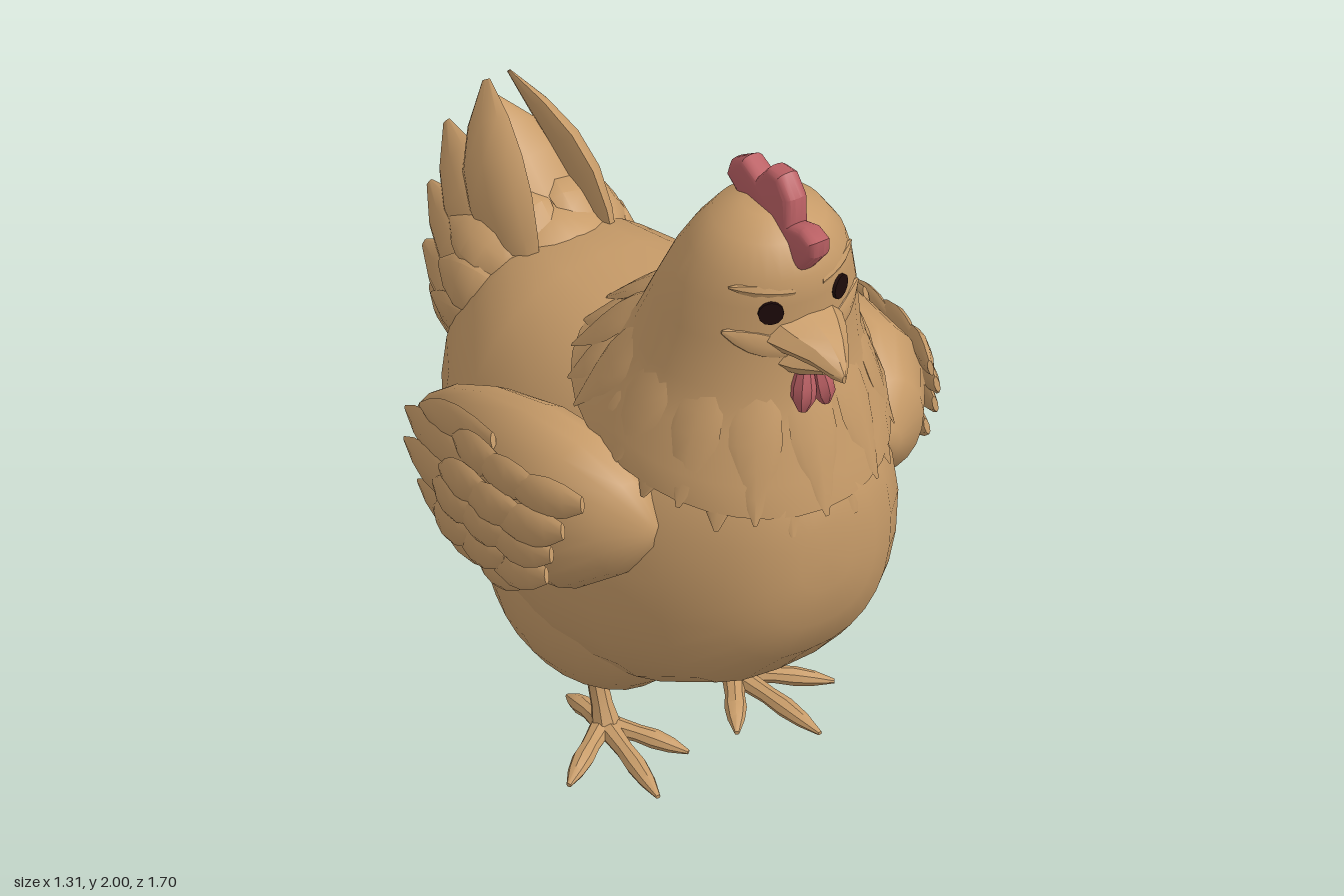
import * as THREE from 'three';
import { toCreasedNormals } from 'three/addons/utils/BufferGeometryUtils.js';

const V = (x, y, z) => new THREE.Vector3(x, y, z);
const material = (name, color, side = THREE.FrontSide) => {
  const m = new THREE.MeshStandardMaterial({ color, side });
  m.name = name;
  return m;
};

// Skin a list of equal-length rings, cap the ends and turn all faces outward.
function loft(rings, { capStart = true, crease = 0.65 } = {}) {
  const n = rings[0].length, pts = rings.flat(), tris = [];
  for (let r = 0; r < rings.length - 1; r++) {
    for (let i = 0; i < n; i++) {
      const a = r * n + i, b = r * n + (i + 1) % n;
      tris.push([a, b, a + n], [b, b + n, a + n]);
    }
  }
  const cap = (r, flip) => {
    const c = rings[r].reduce((s, p) => s.add(p), V(0, 0, 0)).divideScalar(n);
    const k = pts.push(c) - 1;
    for (let i = 0; i < n; i++) {
      const a = r * n + i, b = r * n + (i + 1) % n;
      tris.push(flip ? [k, b, a] : [k, a, b]);
    }
  };
  if (capStart) cap(0, true);
  cap(rings.length - 1, false);
  const mid = pts.reduce((s, p) => s.add(p), V(0, 0, 0)).divideScalar(pts.length);
  let volume = 0;
  for (const [a, b, c] of tris) {
    const [p, q, s] = [a, b, c].map(i => pts[i].clone().sub(mid));
    volume += p.dot(q.cross(s));
  }
  if (volume < 0) tris.forEach(t => t.reverse());
  const g = new THREE.BufferGeometry().setFromPoints(pts);
  g.setIndex(tris.flat());
  return toCreasedNormals(g, crease);
}

// Rounded cross-section facing z; e below 1 is boxier, taper narrows the upper half.
function section(z, top, bottom, x0, x1, n = 28, e = 0.8, taper = 0) {
  const pw = v => Math.sign(v) * Math.abs(v) ** e;
  return Array.from({ length: n }, (_, i) => {
    const a = i / n * Math.PI * 2;
    return V((x0 + x1) / 2 + (x1 - x0) / 2 * pw(Math.cos(a)) * (1 - taper * Math.max(0, Math.sin(a))),
      (top + bottom) / 2 + (top - bottom) / 2 * pw(Math.sin(a)), z);
  });
}

const FEATHER = [0.4, 0.8, 1, 0.95, 0.65, 0.12];
const POINTED = [0.7, 0.95, 1, 0.8, 0.45, 0.08];
// Tapered blade from a to b, flat against the normal and bowed along it.
function blade(a, b, width, thick, normal, profile = FEATHER, bow = 0, n = 8) {
  const dir = b.clone().sub(a).normalize();
  const side = dir.clone().cross(normal).normalize();
  const up = side.clone().cross(dir);
  return loft(profile.map((k, r) => {
    const t = r / (profile.length - 1);
    const c = a.clone().lerp(b, t).addScaledVector(up, bow * Math.sin(Math.PI * t));
    return Array.from({ length: n }, (_, i) => {
      const q = i / n * Math.PI * 2;
      return c.clone().addScaledVector(side, Math.cos(q) * width * k)
        .addScaledVector(up, Math.sin(q) * thick * k);
    });
  }));
}

export function createModel() {
  const hen = new THREE.Group();
  hen.name = 'hen';
  const tan = material('tan plumage', 0xc89c69, THREE.DoubleSide);
  const red = material('comb red', 0xbb6064);
  const black = material('eye black', 0x1c0a0a);
  const add = (name, geo, mat = tan, parent = hen) => {
    const m = new THREE.Mesh(geo, mat);
    m.name = name;
    parent.add(m);
    return m;
  };
  const group = name => {
    const g = new THREE.Group();
    g.name = name;
    hen.add(g);
    return g;
  };

  // Body: z, top, bottom, half width
  add('body', loft([
    [0.77, 1.0, 0.8, 0.08], [0.745, 1.12, 0.68, 0.17], [0.68, 1.2, 0.555, 0.26],
    [0.55, 1.25, 0.42, 0.37], [0.35, 1.27, 0.315, 0.445], [0.15, 1.275, 0.265, 0.48],
    [-0.05, 1.27, 0.25, 0.48], [-0.25, 1.25, 0.285, 0.455], [-0.42, 1.23, 0.36, 0.38],
    [-0.55, 1.17, 0.47, 0.295], [-0.62, 1.08, 0.6, 0.21], [-0.65, 0.95, 0.75, 0.1],
  ].map(([z, t, b, w]) => section(z, t, b, -w, w, 28, 0.8, 0.14)), { crease: 1 }));

  // Neck and head: front z, front y, back z, back y, half width
  const neck = [
    [0.767, 1.05, -0.1, 1.25, 0.4], [0.75, 1.14, -0.03, 1.29, 0.385],
    [0.705, 1.28, 0.06, 1.36, 0.335], [0.685, 1.4, 0.13, 1.45, 0.298],
    [0.685, 1.55, 0.2, 1.58, 0.27], [0.692, 1.66, 0.25, 1.68, 0.24],
    [0.695, 1.74, 0.3, 1.76, 0.205], [0.65, 1.825, 0.36, 1.835, 0.15], [0.58, 1.87, 0.45, 1.87, 0.075],
  ];
  const neckPoint = ([zf, yf, zb, yb, w], a) => {
    const f = (Math.cos(a) + 1) / 2;
    return V(Math.sin(a) * w, yb + (yf - yb) * f, zb + (zf - zb) * f);
  };
  add('neckAndHead', loft(neck.map(ring => Array.from({ length: 32 }, (_, i) =>
    neckPoint(ring, i / 16 * Math.PI))), { capStart: false, crease: 0.9 }));

  // Long pointed collar feathers, lying close to the neck
  const collar = group('collar');
  for (let i = 0; i < 26; i++) {
    const a = i / 13 * Math.PI, out = V(Math.sin(a), 0.25, Math.cos(a));
    const tip = neckPoint(neck[0], a).addScaledVector(out, 0.006);
    tip.y -= (i % 2 ? 0.06 : 0.02) * (1 + Math.cos(a)) / 2;
    add('collarFeather', blade(neckPoint(neck[i % 2 ? 2 : 3], a).addScaledVector(out, -0.015), tip,
      0.07, 0.016, out, POINTED), tan, collar);
  }

  // Beak
  add('upperBeak', loft([[0.66, 1.625, 1.5, 0.12], [0.72, 1.605, 1.51, 0.095], [0.78, 1.585, 1.505, 0.06],
    [0.825, 1.55, 1.49, 0.03], [0.85, 1.515, 1.49, 0.006]]
    .map(([z, t, b, w]) => section(z, t, b, -w, w, 8, 1)), { crease: 0.4 }));
  add('lowerBeak', loft([[0.64, 1.53, 1.43, 0.1], [0.71, 1.52, 1.445, 0.065], [0.775, 1.51, 1.475, 0.02]]
    .map(([z, t, b, w]) => section(z, t, b, -w, w, 8, 1)), { crease: 0.4 }));

  // Comb, rounded by its bevel
  const comb = new THREE.Shape([
    [0.68, 1.78], [0.725, 1.835], [0.725, 1.86], [0.69, 1.87], [0.625, 1.85], [0.62, 1.94], [0.585, 1.98],
    [0.545, 1.975], [0.495, 1.915], [0.43, 1.94], [0.385, 1.91], [0.375, 1.88], [0.44, 1.84],
    [0.55, 1.84], [0.62, 1.8]].map(([z, y]) => new THREE.Vector2(-z, y)));
  const combGeo = new THREE.ExtrudeGeometry(comb,
    { depth: 0.016, bevelThickness: 0.027, bevelSize: 0.02, bevelSegments: 3 });
  combGeo.translate(0, 0, -0.008).rotateY(Math.PI / 2);
  add('comb', toCreasedNormals(combGeo, 0.7), red);

  const wings = group('wings'), legs = group('legs'), tail = group('tail');
  for (const s of [1, -1]) {
    // Face details
    const eye = new THREE.CylinderGeometry(0.034, 0.034, 0.009, 12).rotateX(Math.PI / 2);
    const e = add('eye', eye, black);
    e.position.set(s * 0.107, 1.65, 0.673);
    e.rotation.y = s * 0.46;
    add('brow', blade(V(s * 0.04, 1.7, 0.685), V(s * 0.19, 1.72, 0.6), 0.025, 0.022, V(s * 0.4, 0, 1)));
    add('cheek', blade(V(s * 0.03, 1.51, 0.68), V(s * 0.21, 1.59, 0.6), 0.045, 0.03, V(s * 0.4, 0, 1)));
    add('wattle', blade(V(s * 0.015, 1.48, 0.695), V(s * 0.036, 1.34, 0.712), 0.032, 0.035, V(0, 0, 1),
      [0.5, 0.75, 1, 1, 0.4]), red);

    // Wing core: z, top, bottom, inner x, outer x
    add('wing', loft([
      [0.52, 1.0, 0.93, 0.34, 0.4], [0.46, 1.11, 0.83, 0.3, 0.51], [0.32, 1.18, 0.72, 0.26, 0.61],
      [0.12, 1.17, 0.67, 0.28, 0.63], [-0.1, 1.1, 0.67, 0.32, 0.59], [-0.28, 1.0, 0.7, 0.36, 0.53],
      [-0.4, 0.9, 0.75, 0.39, 0.47], [-0.45, 0.84, 0.79, 0.41, 0.44],
    ].map(([z, t, b, x0, x1]) => section(z, t, b, s * x0, s * x1, 18, 0.95, 0.12)), { crease: 0.9 }), tan, wings);
    const onWing = (z, y) => V(s * (0.37 + 0.262 * Math.sqrt(Math.max(0.04,
      1 - ((z - 0.15) / (z > 0.15 ? 0.46 : 0.66)) ** 2 - ((y - 0.88 - 0.17 * z) / 0.33) ** 2))), y, z);

    // Wing feathers: start z, y, end z, y, half width
    const feathers = [
      [0.05, 1.0, -0.46, 0.83, 0.065], [0.08, 0.92, -0.42, 0.77, 0.06], [0.12, 0.84, -0.34, 0.69, 0.055],
      [0.18, 0.79, -0.2, 0.65, 0.05], [0.28, 0.78, -0.02, 0.64, 0.05], [0.1, 1.1, -0.3, 0.96, 0.06],
    ];
    for (let row = 0; row < 3; row++) {
      for (let i = 0; i < 4; i++) {
        const z = 0.45 - row * 0.14 - i * 0.03, y = 1.09 - i * 0.085 - row * 0.01;
        feathers.push([z, y, z - 0.24, y - 0.05 - 0.02 * (i % 2), 0.058]);
      }
    }
    for (const [z0, y0, z1, y1, w] of feathers) {
      add('wingFeather', blade(onWing(z0, y0), onWing(z1, y1), w, 0.02, V(s, 0.1, 0), FEATHER, 0.012), tan, wings);
    }

    // Tail fan: tip x, y, z, base y, half width
    for (const [x, y, z, by, w] of [
      [0.035, 1.53, -0.73, 1.12, 0.12], [0.08, 1.35, -0.845, 1.08, 0.11], [0.15, 1.2, -0.82, 1.04, 0.1],
      [0.2, 1.06, -0.77, 1.0, 0.1], [0.18, 0.92, -0.77, 0.98, 0.1], [0.09, 0.79, -0.72, 0.97, 0.1]]) {
      add('tailFeather', blade(V(s * 0.13, by, -0.4), V(s * x, y, z), w, 0.04, V(s, 0.5, 0), FEATHER, 0.04), tan, tail);
    }
    // Short feathers ringed around the root of the tail
    for (let i = 0; i < 6; i++) {
      const a = 0.35 + i * 0.48, out = V(s * Math.sin(a), Math.cos(a), 0);
      add('rumpFeather', blade(V(0, 1.03, -0.4).addScaledVector(out, 0.18),
        V(0, 1.03, -0.64 - 0.03 * (i % 2)).addScaledVector(out, 0.25), 0.085, 0.035, out, FEATHER, 0.03), tan, tail);
    }

    // Thigh, shank and toes
    const thigh = new THREE.SphereGeometry(1, 20, 14).scale(0.24, 0.32, 0.36).translate(s * 0.21, 0.52, 0.02);
    add('thigh', thigh, tan, legs);
    add('shank', blade(V(s * 0.2, 0.26, -0.02), V(s * 0.2, 0.035, 0.06), 0.045, 0.045, V(0, 0, 1),
      [1, 0.7, 0.6, 0.65, 0.9]), tan, legs);
    for (const [x, z] of [[0.25, 0.37], [0.41, 0.2], [0.075, 0.25], [0.19, -0.13]]) {
      add('toe', blade(V(s * 0.2, 0.034, 0.05), V(s * x, 0.012, z), 0.034, 0.028, V(0, 1, 0),
        [1, 0.85, 0.75, 0.85, 0.65, 0.2], 0.006), tan, legs);
    }
  }

  // Tail core and the feathers along its middle
  add('tailBase', new THREE.SphereGeometry(1, 18, 12).scale(0.23, 0.24, 0.24).translate(0, 1.03, -0.49), tan, tail);
  for (const [by, y, z, w] of [[1.13, 1.47, -0.74, 0.14], [1.1, 1.3, -0.82, 0.12], [1.06, 1.14, -0.81, 0.12],
    [1.0, 0.99, -0.78, 0.14], [0.95, 0.84, -0.74, 0.12]]) {
    add('middleTailFeather', blade(V(0, by, -0.42), V(-0.02, y, z), w, 0.05, V(0, 1, 0)), tan, tail);
  }
  return hen;
}
